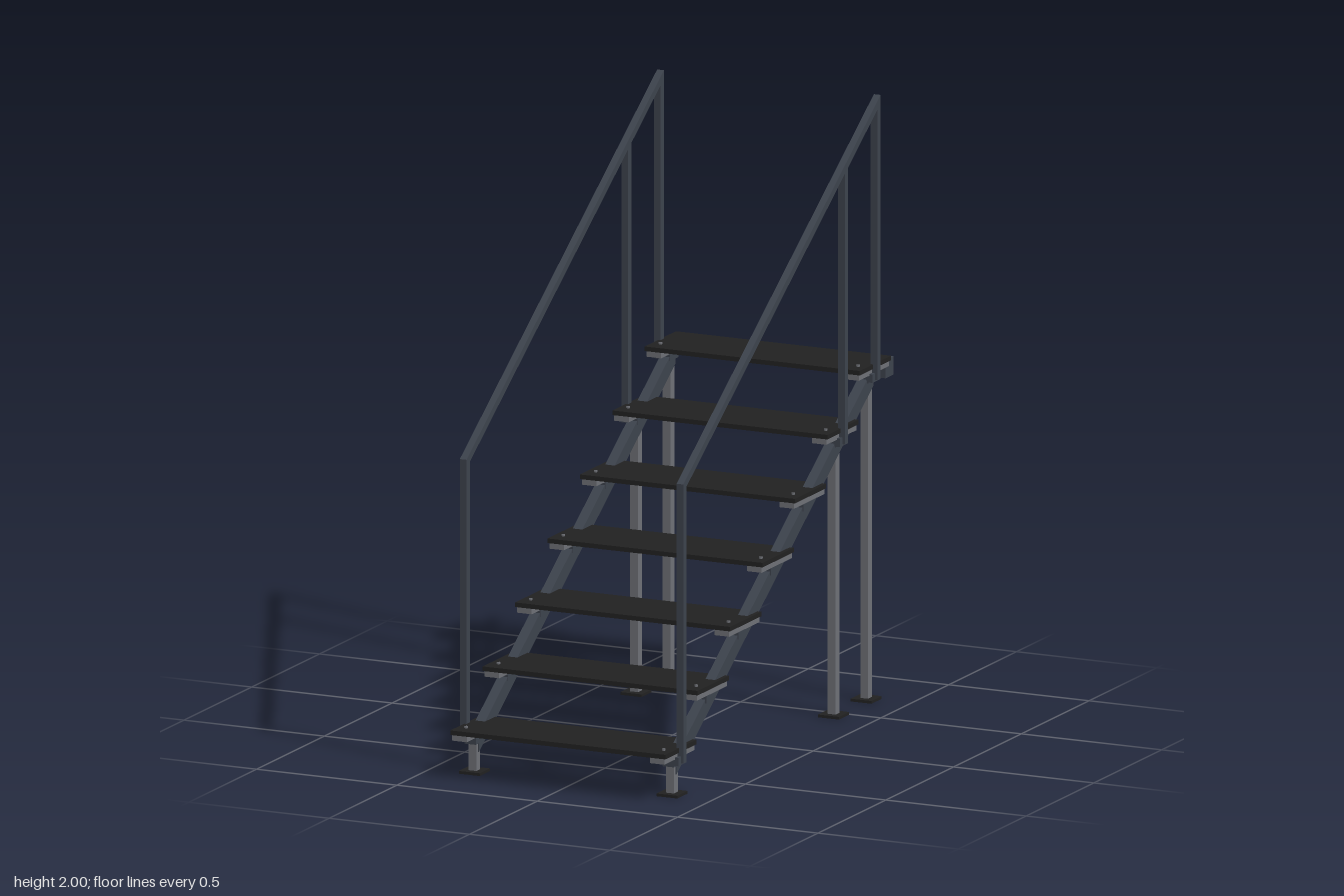
import * as THREE from 'three';

export function createModel() {
  const model = new THREE.Group();
  model.name = 'staircase';

  const mat = (name, color) => {
    const m = new THREE.MeshStandardMaterial({ color });
    m.name = name;
    return m;
  };
  const black = mat('black tread', 0x212121);
  const steel = mat('grey steel', 0x6e7076);
  const slate = mat('slate painted steel', 0x3d434d);

  // box centred on (x, y, z)
  const box = (name, material, w, h, d, x, y, z, parent = model) => {
    const m = new THREE.Mesh(new THREE.BoxGeometry(w, h, d), material);
    m.name = name;
    m.position.set(x, y, z);
    parent.add(m);
    return m;
  };
  // vertical bar between two heights
  const post = (name, material, size, x, y0, y1, z, parent) =>
    box(name, material, size, y1 - y0, size, x, (y0 + y1) / 2, z, parent);
  // sloping bar with plumb-cut ends, between two (z, y) points
  const slope = (name, material, w, tall, x, [z0, y0], [z1, y1], parent) => {
    const h = tall / 2;
    const shape = new THREE.Shape([
      new THREE.Vector2(-z0, y0 - h), new THREE.Vector2(-z1, y1 - h),
      new THREE.Vector2(-z1, y1 + h), new THREE.Vector2(-z0, y0 + h),
    ]);
    const g = new THREE.ExtrudeGeometry(shape, { depth: w, bevelEnabled: false });
    g.translate(0, 0, -w / 2);
    g.rotateY(Math.PI / 2);
    const m = new THREE.Mesh(g, material);
    m.name = name;
    m.position.x = x;
    parent.add(m);
  };

  const steps = 7, run = 0.239, rise = 0.159;
  const zFront = 0.733, topFront = 0.16;
  const pitch = rise / run;
  const stringerY = (z) => 0.102 + (zFront - z) * pitch;
  const postZ = [0.735, -0.457, -0.697];

  // treads
  for (let i = 0; i < steps; i++) {
    const step = new THREE.Group();
    step.name = 'step' + (i + 1);
    step.position.set(0, topFront + i * rise, zFront - i * run);
    model.add(step);
    box('tread', black, 0.766, 0.015, 0.231, 0, -0.0075, 0, step);
    for (const s of [-1, 1]) {
      box('treadBracket', steel, 0.052, 0.019, 0.223, s * 0.352, -0.0245, 0, step);
      box('bracketBlock', slate, 0.04, 0.028, 0.062, s * 0.353, -0.047, 0, step);
      const bolt = new THREE.Mesh(new THREE.CylinderGeometry(0.006, 0.006, 0.006, 6), steel);
      bolt.name = 'bolt';
      bolt.position.set(s * 0.352, 0.003, 0.063);
      step.add(bolt);
    }
  }

  // sides: stringer, legs and handrail
  for (const s of [-1, 1]) {
    const side = new THREE.Group();
    side.name = s > 0 ? 'leftSide' : 'rightSide';
    model.add(side);
    const x = s * 0.352, railX = s * 0.386;

    slope('stringer', slate, 0.034, 0.06, x, [0.737, stringerY(0.737)], [-0.715, stringerY(-0.715)], side);

    for (const z of postZ) {
      box('footPlate', black, 0.075, 0.009, 0.075, x, 0.0045, z, side);
      post('leg', steel, 0.028, x, 0.009, stringerY(z), z, side);
      // handrail post and the lug joining it to the stringer
      const railY = 1.026 + (0.735 - z) * pitch;
      post('railPost', slate, 0.024, railX, stringerY(z) + 0.01, railY, z, side);
      box('postLug', slate, 0.022, 0.028, 0.06, s * 0.378, stringerY(z) + 0.018, z, side);
    }
    slope('handrail', slate, 0.024, 0.028, railX, [0.747, 1.018], [-0.709, 1.986], side);

    // rear anchor block
    box('anchorBlock', slate, 0.052, 0.06, 0.06, x, 1.075, -0.817, side);
  }
  return model;
}
